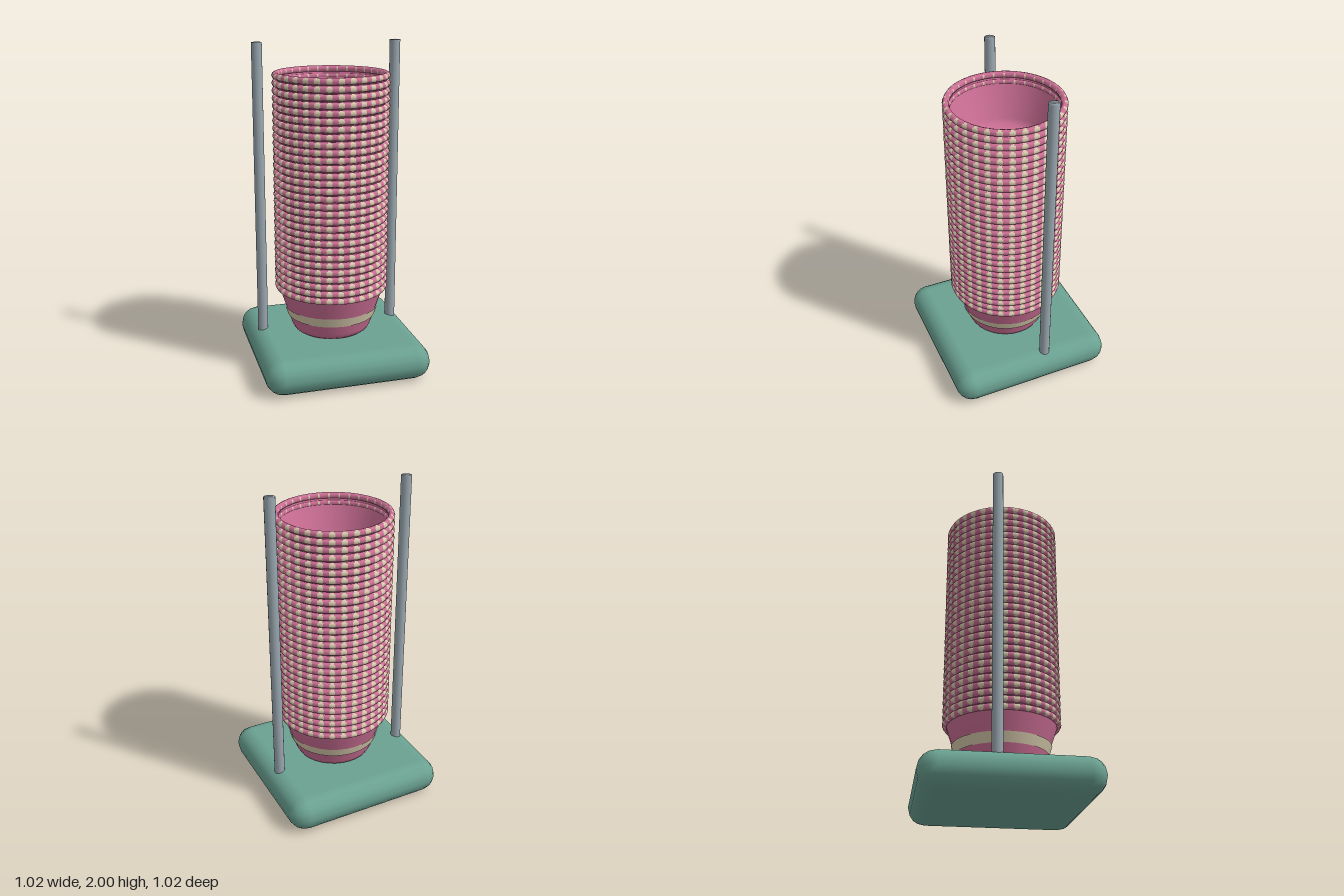
import * as THREE from 'three';
import { RoundedBoxGeometry } from 'three/addons/geometries/RoundedBoxGeometry.js';

const CUPS = 30;
const FIRST_RIM = 0.51;
const SPACING = 1.3 / (CUPS - 1);

function lathe(points, segments) {
  return new THREE.LatheGeometry(points.map(([r, y]) => new THREE.Vector2(r, y)), segments);
}

export function createModel() {
  const model = new THREE.Group();
  const green = new THREE.MeshStandardMaterial({ color: 0x6ba292 });
  const steel = new THREE.MeshStandardMaterial({ color: 0x9aa8b0 });
  const pink = new THREE.MeshStandardMaterial({ color: 0xcc6f95, side: THREE.DoubleSide });
  const cream = new THREE.MeshStandardMaterial({ color: 0xd8ccae });
  green.name = 'green base';
  steel.name = 'grey metal';
  pink.name = 'pink cup';
  cream.name = 'cream trim';

  function add(parent, name, geometry, material, x = 0, y = 0, z = 0) {
    const mesh = new THREE.Mesh(geometry, material);
    mesh.name = name;
    mesh.position.set(x, y, z);
    parent.add(mesh);
    return mesh;
  }

  // Cushion-edged square base
  add(model, 'base', new RoundedBoxGeometry(1.02, 0.214, 1.02, 2, 0.106), green, 0, 0.107, 0);

  // Two guide rods, set slightly behind the cups
  const rod = lathe([[0, 0.2], [0.032, 0.2], [0.032, 2], [0, 2]], 16);
  add(model, 'leftRod', rod, steel, 0.425, 0, -0.087);
  add(model, 'rightRod', rod, steel, -0.425, 0, -0.087);

  // Cup parts, measured from the rim height
  const wall = lathe([[0, -0.296], [0.21, -0.296], [0.235, -0.278], [0.25, -0.25], [0.332, 0]], 32);
  const band = lathe([[0.276, -0.19], [0.2955, -0.13]], 32);
  const rim = new THREE.TorusGeometry(0.332, 0.02, 8, 32).rotateX(Math.PI / 2);
  // Thin cream line that breaks through the rim in dashes
  const trim = new THREE.TorusGeometry(0.3325, 0.0195, 8, 32)
    .rotateX(Math.PI / 2).rotateY(Math.PI / 32);

  // Nested stack of cups
  const stack = new THREE.Group();
  stack.name = 'cupStack';
  model.add(stack);
  for (let i = 0; i < CUPS; i++) {
    const cup = new THREE.Group();
    cup.name = 'cup' + (i + 1);
    cup.position.y = FIRST_RIM + i * SPACING;
    add(cup, 'cupWall', wall, pink);
    add(cup, 'cupBand', band, cream);
    add(cup, 'cupRim', rim, pink);
    add(cup, 'rimTrim', trim, cream);
    stack.add(cup);
  }
  return model;
}
